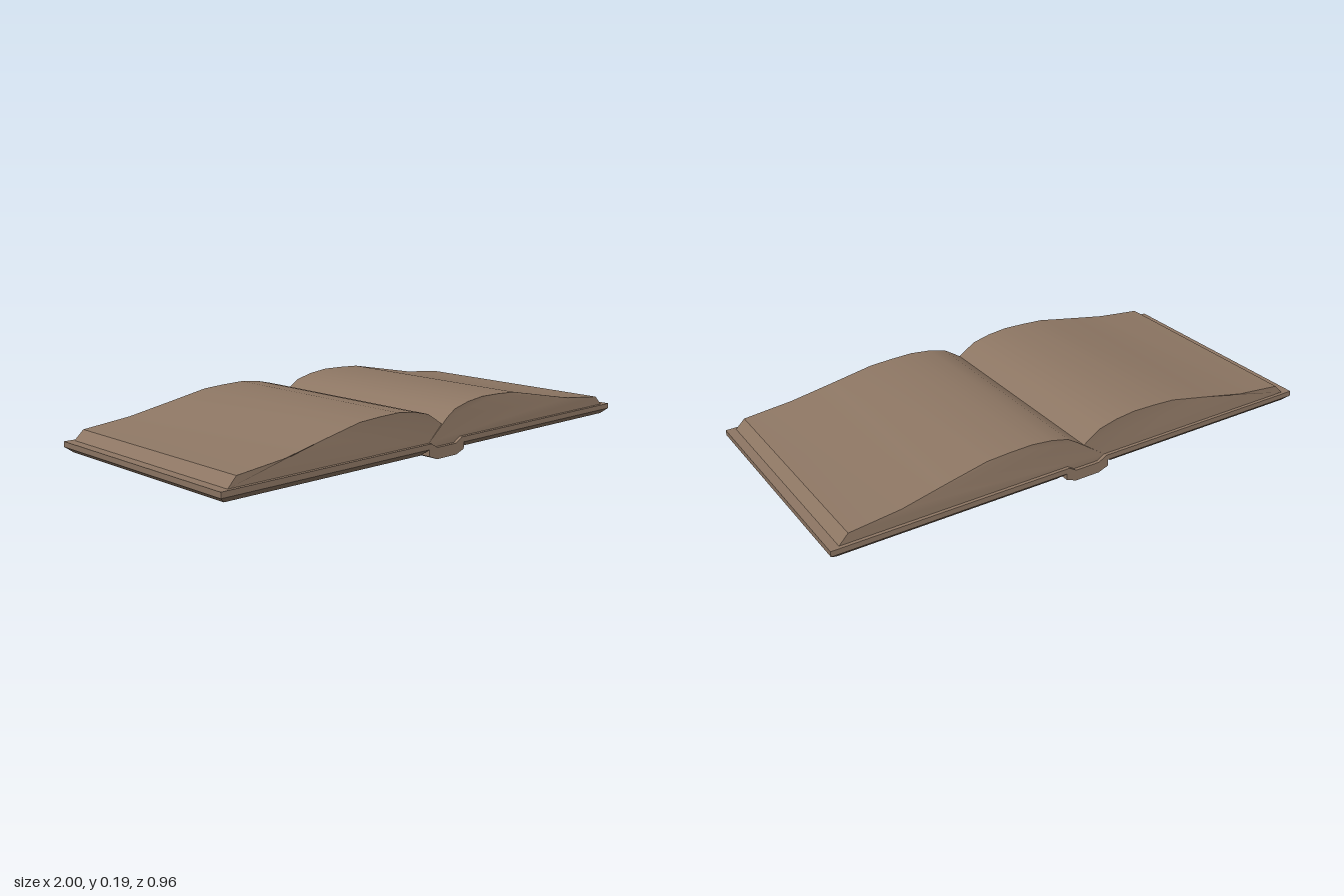
import * as THREE from 'three';
import { toCreasedNormals } from 'three/addons/utils/BufferGeometryUtils.js';

const COVER_DEPTH = 0.458;
const PAGE_DEPTH = 0.445;

// Extrudes a closed x/y outline symmetrically along z
function extrudeOutline(points, halfDepth) {
  const shape = new THREE.Shape(points.map(([x, y]) => new THREE.Vector2(x, y)));
  const geometry = new THREE.ExtrudeGeometry(shape, { depth: halfDepth * 2, bevelEnabled: false });
  return geometry.translate(0, 0, -halfDepth);
}

// Mirrors a right-hand run of points, so the outline is closed and symmetric
function mirrored(points) {
  const left = points.filter(([x]) => x > 0).map(([x, y]) => [-x, y]).reverse();
  return [...points, ...left];
}

export function createModel() {
  const book = new THREE.Group();
  book.name = 'openBook';
  const brown = new THREE.MeshStandardMaterial({ color: 0x8e7764 });
  brown.name = 'brown';

  function add(name, geometry, crease) {
    const mesh = new THREE.Mesh(toCreasedNormals(geometry, crease), brown);
    mesh.name = name;
    book.add(mesh);
    return mesh;
  }

  // Cover boards, chamfered around the underside
  const inner = 0.09, outer = 0.99;
  for (const side of [-1, 1]) {
    const board = new THREE.BoxGeometry(outer - inner, 0.04, COVER_DEPTH * 2, 1, 2, 1);
    const p = board.attributes.position;
    for (let i = 0; i < p.count; i++) {
      if (p.getY(i) > -0.01) continue;
      p.setX(i, p.getX(i) - Math.sign(p.getX(i)) * 0.025);
      p.setZ(i, p.getZ(i) - Math.sign(p.getZ(i)) * 0.02);
    }
    board.translate(side * (inner + outer) / 2, 0.04, 0);
    add(side > 0 ? 'leftCover' : 'rightCover', board, 0.3);
  }

  // Spine with a shallow hollow on top
  const spine = mirrored([[0.05, 0], [0.09, 0.015], [0.09, 0.06], [0.08, 0.06], [0.05, 0.042]]);
  add('spine', extrudeOutline(spine, COVER_DEPTH), 0.3);

  // Page block with two swelling halves that meet in a gutter
  const pages = extrudeOutline(mirrored([
    [0.05, 0.042], [0.08, 0.06], [0.955, 0.06], [0.92, 0.095], [0.73, 0.115], [0.57, 0.146],
    [0.4, 0.179], [0.31, 0.184], [0.22, 0.186], [0.14, 0.177], [0.07, 0.16], [0.03, 0.135], [0, 0.115],
  ]), PAGE_DEPTH);
  // Lean the head and tail of the pages inwards where the block is thick
  const p = pages.attributes.position;
  for (let i = 0; i < p.count; i++) {
    if (p.getY(i) < 0.07) continue;
    const inset = THREE.MathUtils.lerp(0.014, 0.002, THREE.MathUtils.smoothstep(Math.abs(p.getX(i)), 0.4, 0.8));
    p.setZ(i, p.getZ(i) - Math.sign(p.getZ(i)) * inset);
  }
  add('pages', pages, 0.45);

  // The whole book lies slightly turned
  book.rotation.y = 0.0202;
  const model = new THREE.Group();
  model.add(book);
  return model;
}
